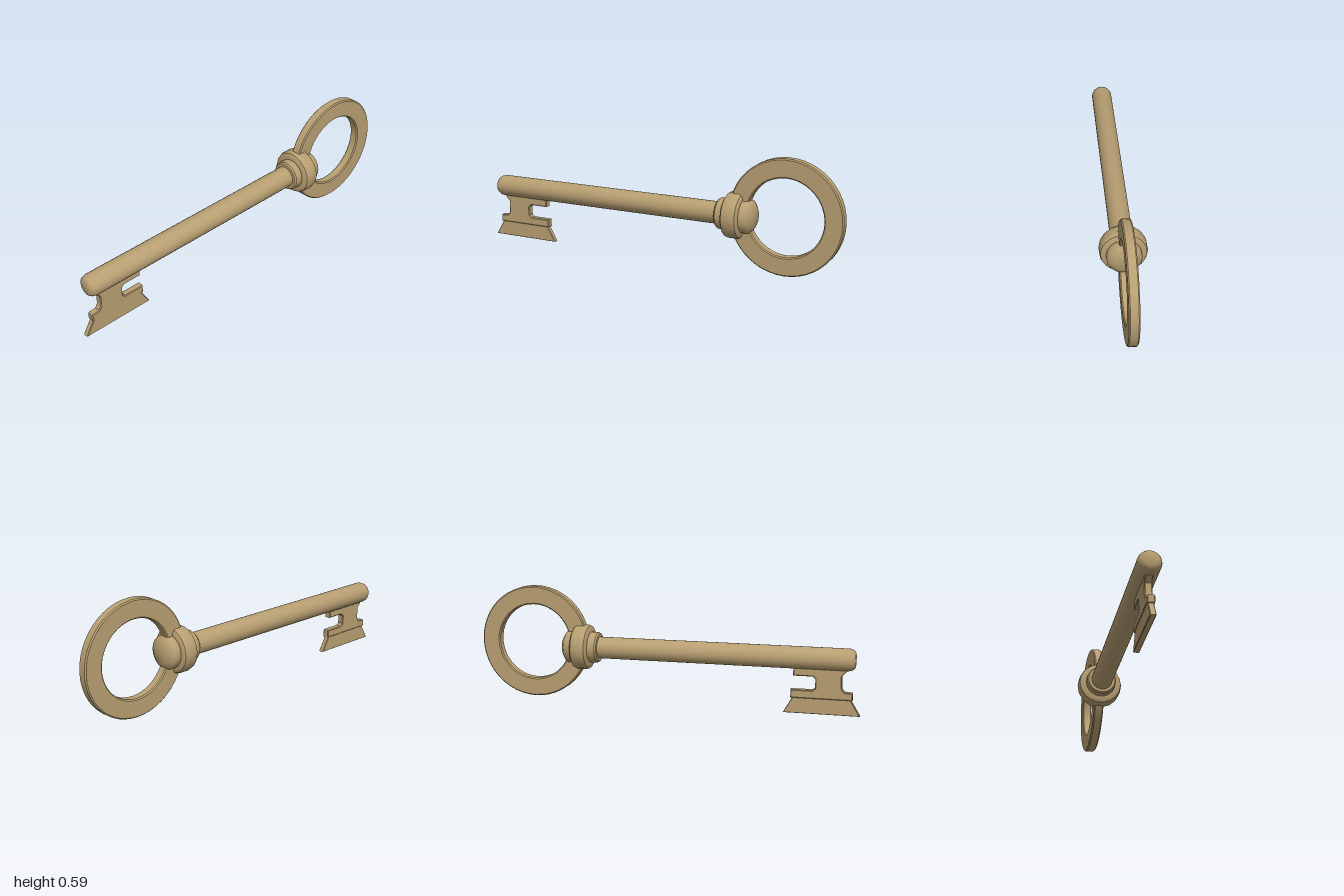
import * as THREE from 'three';
import { toCreasedNormals } from 'three/addons/utils/BufferGeometryUtils.js';

const AXIS_Y = 0.28;
const brass = new THREE.MeshStandardMaterial({ color: 0xb89f72 });

function part(name, geometry, crease = 0.6) {
  const mesh = new THREE.Mesh(toCreasedNormals(geometry, crease), brass);
  mesh.name = name;
  return mesh;
}

// Turned part along x from [x, radius] pairs, left to right
function turned(name, profile, sides) {
  const points = profile.map(([x, r]) => new THREE.Vector2(r, x));
  const geometry = new THREE.LatheGeometry(points, sides);
  geometry.rotateZ(-Math.PI / 2).translate(0, AXIS_Y, 0);
  return part(name, geometry);
}

// Plate centred on z = 0 with slightly bevelled rims
function plate(name, shape, thickness, bevel, curveSegments = 12) {
  const geometry = new THREE.ExtrudeGeometry(shape, {
    depth: thickness - 2 * bevel, bevelThickness: bevel, bevelSize: bevel,
    bevelOffset: -bevel, bevelSegments: 1, curveSegments,
  });
  geometry.translate(0, 0, bevel - thickness / 2);
  return part(name, geometry);
}

const outline = (points) => new THREE.Shape(points.map(([x, y]) => new THREE.Vector2(x, y)));

export function createModel() {
  const key = new THREE.Group();
  key.name = 'key';

  // Round shaft with a softened tip
  key.add(turned('shaft', [
    [-0.972, 0], [-0.972, 0.034], [-0.966, 0.045], [-0.955, 0.052], [-0.94, 0.056],
    [0.36, 0.056], [0.36, 0],
  ], 24));

  // Stepped collar with a wide middle bead and tapered end
  key.add(turned('collar', [
    [0.342, 0], [0.342, 0.072], [0.35, 0.079], [0.388, 0.08],
    [0.388, 0.1], [0.396, 0.112], [0.412, 0.117], [0.455, 0.117], [0.468, 0.112], [0.476, 0.1],
    [0.476, 0.086], [0.505, 0.086], [0.516, 0.08], [0.534, 0.05], [0.534, 0],
  ], 18));

  // Ring-shaped handle
  const ring = new THREE.Shape().absarc(0.695, 0.3, 0.292, 0, Math.PI * 2);
  ring.holes.push(new THREE.Path().absarc(0.695, 0.3, 0.196, 0, Math.PI * 2, true));
  key.add(plate('bow', ring, 0.05, 0.006, 24));

  // Notched bit below the shaft
  key.add(plate('bit', outline([
    [-0.93, 0.25], [-0.93, 0.222], [-0.908, 0.198], [-0.908, 0.136], [-0.92, 0.118],
    [-0.962, 0.114], [-0.962, 0.078], [-0.656, 0.078], [-0.656, 0.12],
    [-0.765, 0.12], [-0.778, 0.132], [-0.778, 0.178], [-0.765, 0.19],
    [-0.668, 0.19], [-0.668, 0.25],
  ]), 0.036, 0.004));

  // Flared foot of the bit
  key.add(plate('bitFoot', outline([
    [-1, 0], [-0.62, 0], [-0.668, 0.084], [-0.95, 0.084],
  ]), 0.028, 0.003));

  return key;
}
